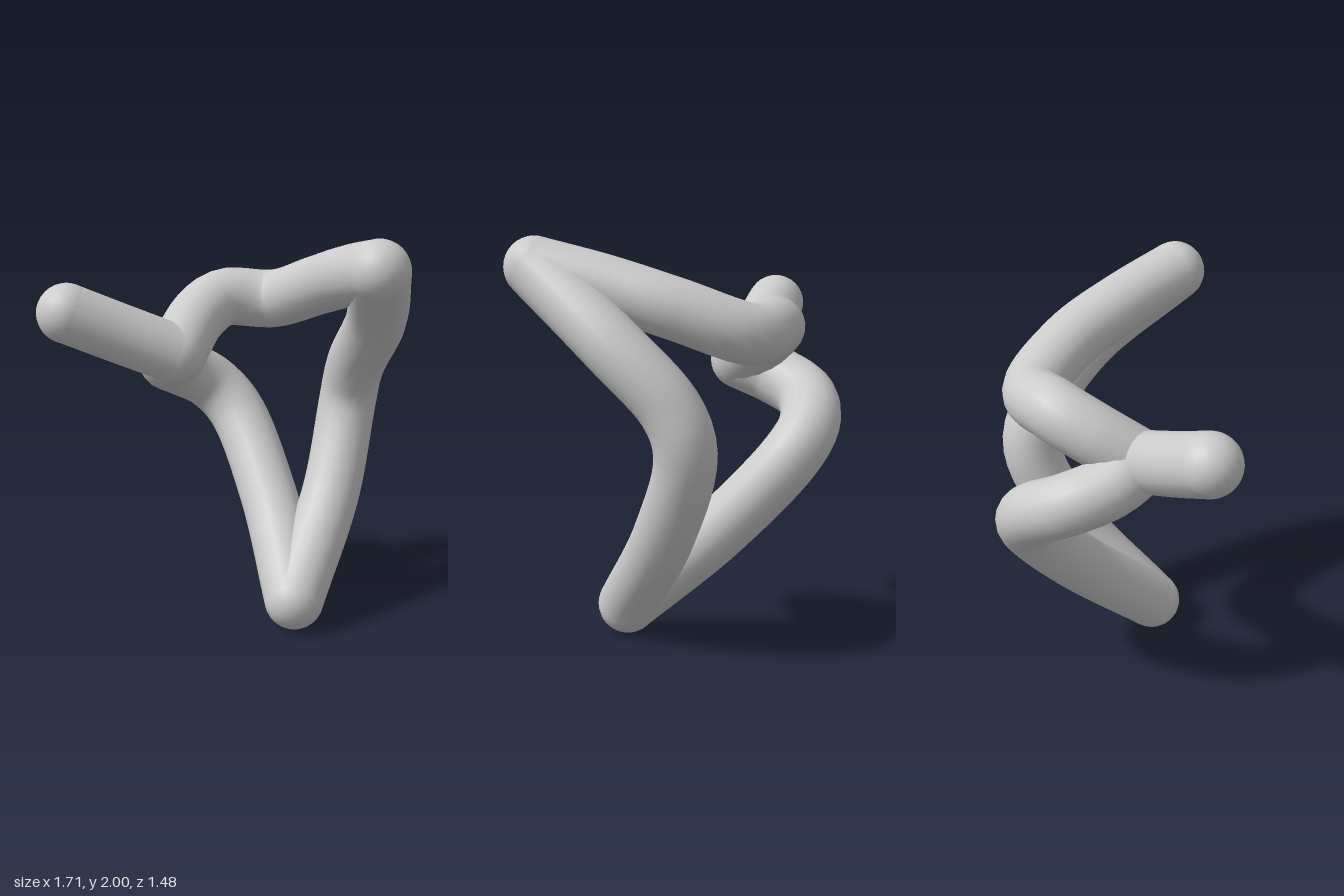
import * as THREE from 'three';

const R = 0.148;
const material = new THREE.MeshStandardMaterial({ color: 0xcccccc });

// Shared corner points of the bent loop
const tip = [-0.71, 1.57, 0.59];
const junction = [-0.38, 1.34, 0.17];
const peak = [0.70, 1.85, -0.02];
const foot = [0.25, 0.15, 0.015];

// Round limb following a smooth path
function limb(name, points) {
  const curve = new THREE.CatmullRomCurve3(points.map(p => new THREE.Vector3(...p)), false, 'centripetal');
  const mesh = new THREE.Mesh(new THREE.TubeGeometry(curve, 40, R, 20), material);
  mesh.name = name;
  return mesh;
}

// Ball that rounds off an end or a sharp bend
function knuckle(name, position) {
  const mesh = new THREE.Mesh(new THREE.SphereGeometry(R, 24, 16), material);
  mesh.position.set(...position);
  mesh.name = name;
  return mesh;
}

export function createModel() {
  const group = new THREE.Group();
  group.name = 'bentLoop';
  group.add(
    // Free arm reaching forward
    limb('freeArm', [tip, [-0.56, 1.46, 0.39], junction]),
    // Upper limb, from the junction round the back to the peak
    limb('upperLimb', [junction, [-0.44, 1.49, -0.07], [-0.42, 1.56, -0.24], [-0.24, 1.55, -0.42],
      [0.1, 1.67, -0.36], [0.4, 1.77, -0.2], peak]),
    // Back limb, from the peak down to the foot
    limb('backLimb', [peak, [0.42, 1.52, -0.4], [0.18, 1.23, -0.565], [0.12, 1.03, -0.59],
      [0.17, 0.6, -0.39], foot]),
    // Lower limb, from the foot up to the side and back to the junction
    limb('lowerLimb', [foot, [-0.13, 0.56, -0.25], [-0.46, 0.94, -0.375], [-0.58, 1.08, -0.31],
      [-0.63, 1.19, -0.12], [-0.53, 1.27, 0.07], junction]),
    knuckle('armTip', tip),
    knuckle('junction', junction),
    knuckle('peak', peak),
    knuckle('foot', foot),
  );
  return group;
}
